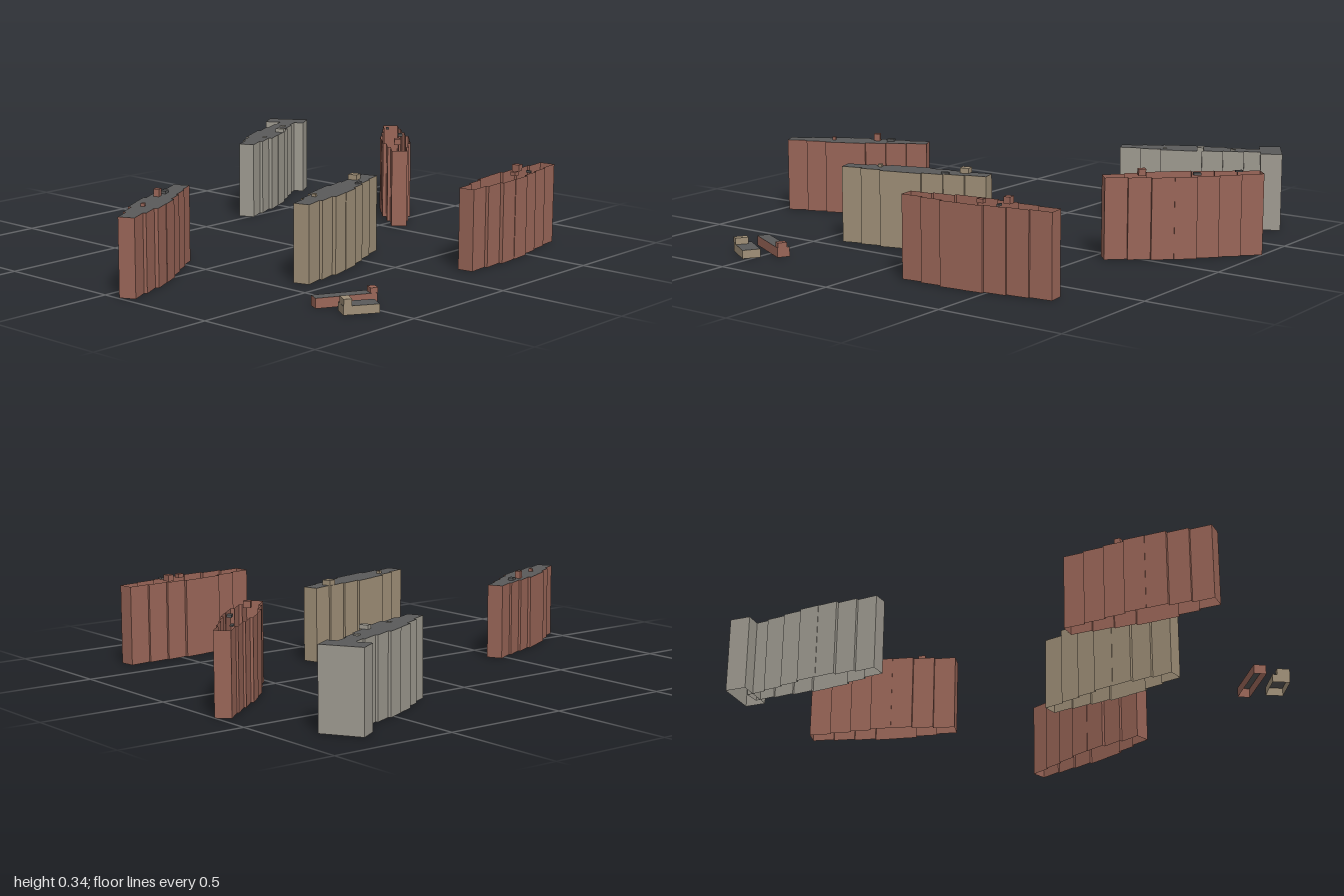
import * as THREE from 'three';

const mat = (name, color) => {
  const m = new THREE.MeshStandardMaterial({ color, side: THREE.DoubleSide });
  m.name = name;
  return m;
};

// Stepped half-widths of the houses along one terrace
const STEPS = [0.031, 0.039, 0.048, 0.059, 0.057, 0.043, 0.031];

// Footprint outline of a terrace running from a to b ([x, z] points)
function footprint(a, b, widths) {
  const dx = b[0] - a[0], dz = b[1] - a[1], len = Math.hypot(dx, dz);
  const at = (t, off) => [a[0] + dx * t - dz / len * off, a[1] + dz * t + dx / len * off];
  const one = [], other = [];
  widths.forEach((w, i) => {
    for (const t of [i / widths.length, (i + 1) / widths.length]) {
      one.push(at(t, w));
      other.unshift(at(t, -w));
    }
  });
  return [...one, ...other];
}

// Open ring of vertical walls above a footprint
function wallGeometry(points, h) {
  const pos = [];
  points.forEach(([x0, z0], i) => {
    const [x1, z1] = points[(i + 1) % points.length];
    pos.push(x0, 0, z0, x0, h, z0, x1, h, z1, x0, 0, z0, x1, h, z1, x1, 0, z1);
  });
  const g = new THREE.BufferGeometry();
  g.setAttribute('position', new THREE.Float32BufferAttribute(pos, 3));
  g.computeVertexNormals();
  return g;
}

// Flat roof over a footprint
function roofGeometry(points, h) {
  const shape = new THREE.Shape(points.map(([x, z]) => new THREE.Vector2(x, -z)));
  return new THREE.ShapeGeometry(shape).rotateX(-Math.PI / 2).translate(0, h, 0);
}

export function createModel() {
  const model = new THREE.Group();
  const brick = mat('brick', 0x9a6658);
  const tan = mat('tan stone', 0xa09078);
  const grey = mat('grey stone', 0xa09c92);
  const slate = mat('slate', 0x5a5a5a);

  // chimneys: [x, z, width, depth, top, dark]
  const blocks = [
    { name: 'greyTerrace', a: [-0.757, -0.77], b: [-0.513, -0.25], h: 0.305, wall: grey, roof: true, widths: STEPS,
      chimneys: [[-0.61, -0.56, 0.035, 0.025, 0.32], [-0.69, -0.66, 0.018, 0.018, 0.31], [-0.57, -0.42, 0.015, 0.015, 0.308]] },
    { name: 'greyCrossWing', a: [-0.85, -0.737], b: [-0.708, -0.823], h: 0.305, wall: grey, roof: true, widths: [0.042], chimneys: [] },
    { name: 'tanTerrace', a: [0.243, -0.15], b: [0.405, 0.415], h: 0.295, wall: tan, roof: true, widths: STEPS,
      chimneys: [[0.252, -0.05, 0.035, 0.035, 0.315], [0.315, 0, 0.012, 0.03, 0.302, true], [0.35, 0.285, 0.015, 0.015, 0.305]] },
    { name: 'frontBrickTerrace', a: [-0.164, 0.46], b: [0.095, 0.98], h: 0.292, wall: brick, roof: true, widths: STEPS,
      chimneys: [[-0.105, 0.605, 0.02, 0.03, 0.302, true], [-0.085, 0.66, 0.022, 0.025, 0.32], [0.005, 0.815, 0.014, 0.014, 0.304]] },
    { name: 'backBrickTerrace', a: [-0.348, -0.979], b: [0.066, -0.544], h: 0.31, wall: brick, roof: false, widths: STEPS,
      chimneys: [[-0.303, -0.905, 0.012, 0.028, 0.316, true], [-0.155, -0.812, 0.018, 0.028, 0.32, true], [-0.033, -0.648, 0.028, 0.028, 0.335]] },
    { name: 'rightBrickTerrace', a: [0.654, -0.74], b: [0.721, -0.14], h: 0.31, wall: brick, roof: false, widths: STEPS,
      chimneys: [[0.655, -0.54, 0.03, 0.026, 0.335], [0.71, -0.54, 0.02, 0.01, 0.318, true], [0.703, -0.458, 0.02, 0.026, 0.325]] },
    { name: 'brickShed', a: [0.757, 0.42], b: [0.65, 0.622], h: 0.037, wall: brick, roof: true, widths: [0.024],
      chimneys: [[0.757, 0.432, 0.035, 0.028, 0.056]] },
    { name: 'tanShed', a: [0.84, 0.505], b: [0.77, 0.615], h: 0.032, wall: tan, roof: true, widths: [0.034],
      chimneys: [[0.787, 0.607, 0.05, 0.03, 0.057]] },
  ];

  for (const k of blocks) {
    const group = new THREE.Group();
    group.name = k.name;
    const add = (geo, m, name) => {
      const mesh = new THREE.Mesh(geo, m);
      mesh.name = name;
      group.add(mesh);
      return mesh;
    };
    const points = footprint(k.a, k.b, k.widths);
    add(wallGeometry(points, k.h), k.wall, 'walls');
    if (k.roof) add(roofGeometry(points, k.h), slate, 'roof');

    // Chimneys turned to follow the terrace
    const turn = Math.atan2(k.b[0] - k.a[0], k.b[1] - k.a[1]);
    for (const [x, z, w, d, top, dark] of k.chimneys) {
      const c = add(new THREE.BoxGeometry(w, top - k.h, d), dark ? slate : k.wall, 'chimney');
      c.position.set(x, (top + k.h) / 2, z);
      c.rotation.y = turn;
    }
    model.add(group);
  }
  return model;
}
